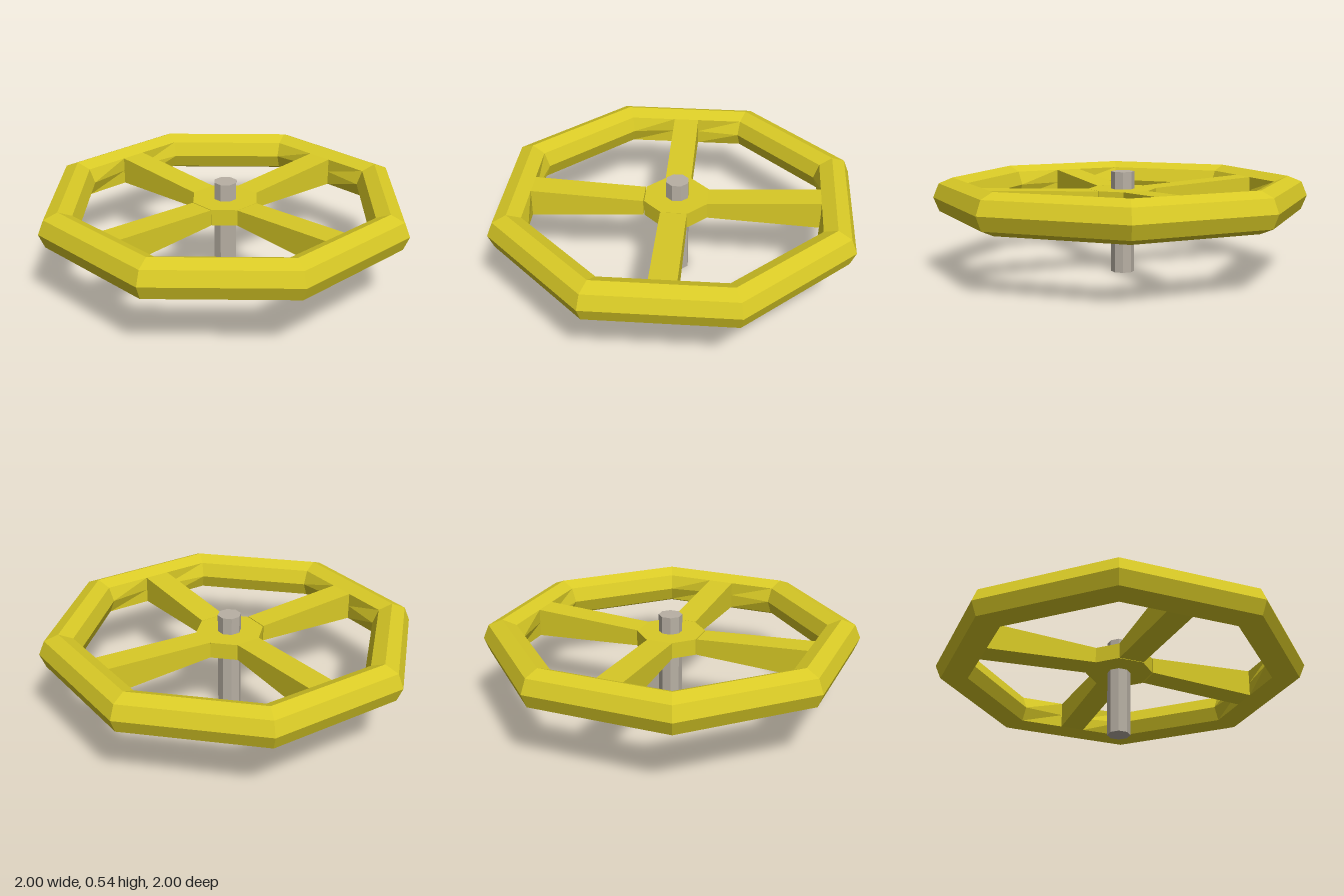
import * as THREE from 'three';

const SIDES = 8, RING = 0.895, TUBE = 0.105, MID = 0.405;
const INNER = RING - TUBE * Math.SQRT1_2;         // radius where spokes meet the rim
const APOTHEM = INNER * Math.cos(Math.PI / SIDES);
const HUB_R = 0.18, HUB_H = 0.086, SPOKE_W = 0.138;

// Octagonal rim; its inner ridge is flattened where a spoke joins
function rimGeometry() {
  const stations = [];
  for (let i = 0; i < SIDES; i++) {
    stations.push([i, 0]);
    if (i % 2 === 0) {
      const t = SPOKE_W / 2 / (2 * INNER * Math.sin(Math.PI / SIDES));
      stations.push([i, 0.5 - t], [i, 0.5 + t]);
    }
  }
  const pos = [], index = [];
  for (const [i, t] of stations) {
    const a = i * Math.PI / 4, b = a + Math.PI / 4;
    const cx = Math.cos(a) * (1 - t) + Math.cos(b) * t;
    const cz = Math.sin(a) * (1 - t) + Math.sin(b) * t;
    for (let j = 0; j < 8; j++) {
      const phi = j * Math.PI / 4;
      const r = j === 4 && t > 0 ? INNER : RING + TUBE * Math.cos(phi);
      pos.push(cx * r, MID + TUBE * Math.sin(phi), cz * r);
    }
  }
  const n = stations.length;
  for (let s = 0; s < n; s++) {
    for (let j = 0; j < 8; j++) {
      const k = (j + 1) % 8, u = (s + 1) % n;
      const A = s * 8 + j, B = s * 8 + k, C = u * 8 + k, D = u * 8 + j;
      index.push(A, B, D, B, C, D);
    }
  }
  const g = new THREE.BufferGeometry();
  g.setAttribute('position', new THREE.Float32BufferAttribute(pos, 3));
  g.setIndex(index);
  const flat = g.toNonIndexed();
  flat.computeVertexNormals();
  return flat;
}

// Spoke along +x, thin at the hub and thick at the rim
function spokeGeometry() {
  const start = HUB_R * Math.cos(Math.PI / SIDES);
  const g = new THREE.BoxGeometry(1, 1, SPOKE_W);
  const p = g.attributes.position;
  for (let i = 0; i < p.count; i++) {
    const outer = p.getX(i) > 0;
    p.setX(i, outer ? APOTHEM : start);
    p.setY(i, p.getY(i) * (outer ? TUBE * Math.SQRT2 : HUB_H));
  }
  g.computeVertexNormals();
  return g;
}

export function createModel() {
  const model = new THREE.Group();
  model.name = 'valveWheel';

  const make = (name, color) => {
    const m = new THREE.MeshStandardMaterial({ color });
    m.name = name;
    m.flatShading = true;
    return m;
  };
  const yellow = make('yellowPaint', 0xd9ca26);
  const steel = make('steel', 0xb8b0a4);

  const add = (name, geometry, material, x = 0, y = 0, z = 0) => {
    const mesh = new THREE.Mesh(geometry, material);
    mesh.name = name;
    mesh.position.set(x, y, z);
    model.add(mesh);
    return mesh;
  };

  add('rim', rimGeometry(), yellow);

  // Hub and four spokes
  add('hub', new THREE.CylinderGeometry(HUB_R, HUB_R, HUB_H, SIDES), yellow, 0, MID, -0.005);
  const spoke = spokeGeometry();
  for (let i = 0; i < 4; i++) {
    add('spoke', spoke, yellow, 0, MID, 0).rotation.y = -(Math.PI / 8 + i * Math.PI / 2);
  }

  // Stem through the hub
  add('stem', new THREE.CylinderGeometry(0.062, 0.062, 0.54, SIDES), steel, 0, 0.27, -0.008);

  return model;
}
